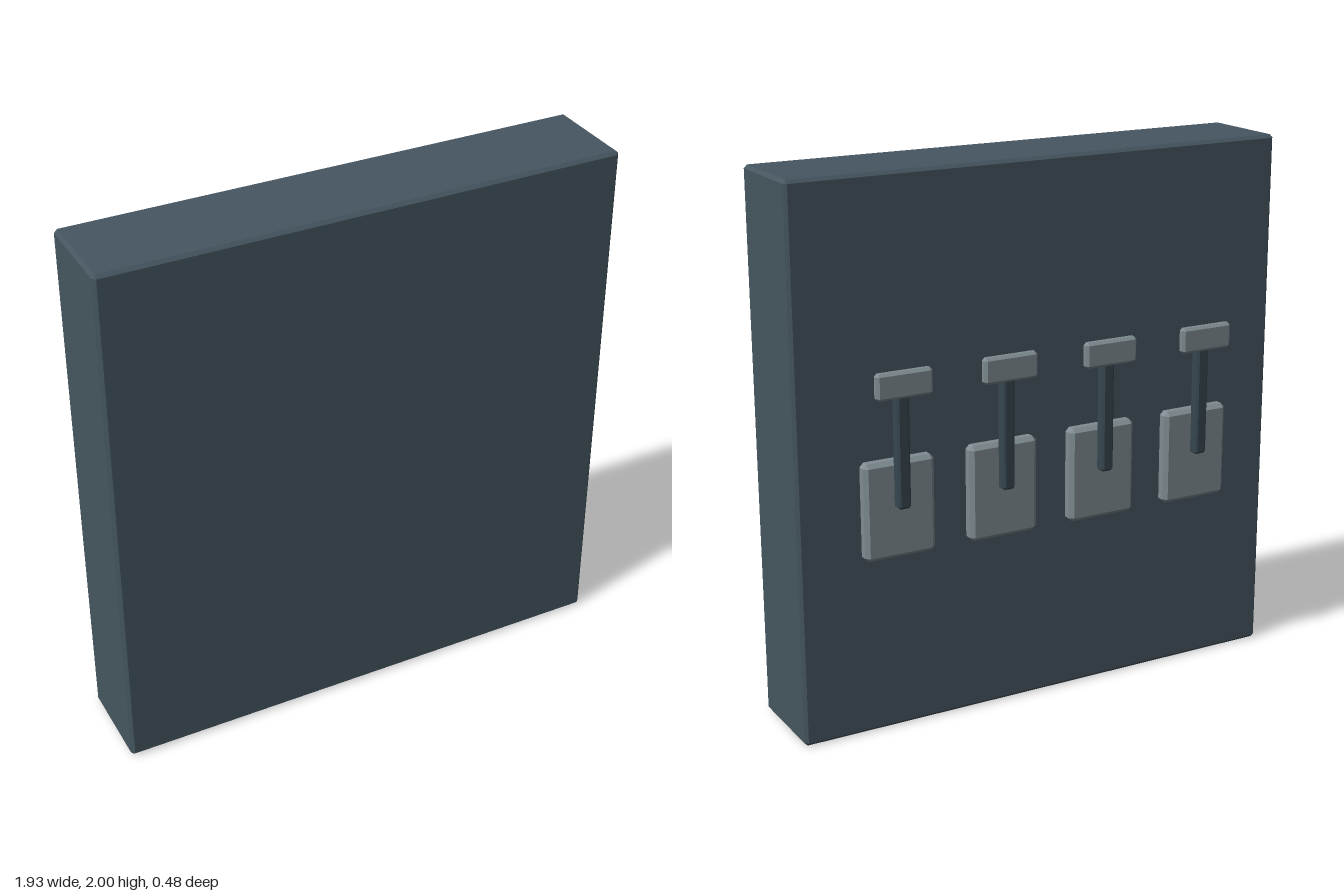
import * as THREE from 'three';
import { ConvexGeometry } from 'three/addons/geometries/ConvexGeometry.js';

// Box with a flat chamfer on every edge, given by its bounds
function chamferBox(name, material, [x0, x1], [y0, y1], [z0, z1], c) {
  const hx = (x1 - x0) / 2, hy = (y1 - y0) / 2, hz = (z1 - z0) / 2;
  const points = [];
  for (const sx of [-1, 1]) for (const sy of [-1, 1]) for (const sz of [-1, 1]) {
    points.push(
      new THREE.Vector3(sx * hx, sy * (hy - c), sz * (hz - c)),
      new THREE.Vector3(sx * (hx - c), sy * hy, sz * (hz - c)),
      new THREE.Vector3(sx * (hx - c), sy * (hy - c), sz * hz)
    );
  }
  const mesh = new THREE.Mesh(new ConvexGeometry(points), material);
  mesh.name = name;
  mesh.position.set((x0 + x1) / 2, (y0 + y1) / 2, (z0 + z1) / 2);
  return mesh;
}

function flatColor(name, color) {
  const material = new THREE.MeshStandardMaterial({ color });
  material.name = name;
  return material;
}

export function createModel() {
  const slate = flatColor('slate', 0x455660);
  const darkSlate = flatColor('dark slate', 0x37474f);
  const steel = flatColor('steel grey', 0x7f8c92);

  const model = new THREE.Group();
  model.name = 'switchPanel';

  // Thick panel
  model.add(chamferBox('panel', slate, [-0.965, 0.965], [0, 2], [-0.117, 0.239], 0.012));

  // Row of four knife switches on the back
  for (let i = 0; i < 4; i++) {
    const unit = new THREE.Group();
    unit.name = 'switch' + (i + 1);
    unit.position.x = (i - 1.5) * 0.405;
    unit.add(
      chamferBox('switchPlate', steel, [-0.134, 0.134], [0.668, 1.022], [-0.183, -0.127], 0.015),
      chamferBox('switchLever', darkSlate, [-0.024, 0.024], [0.855, 1.293], [-0.219, -0.174], 0.008),
      chamferBox('switchHandle', steel, [-0.105, 0.105], [1.255, 1.35], [-0.239, -0.205], 0.01)
    );
    model.add(unit);
  }
  return model;
}
